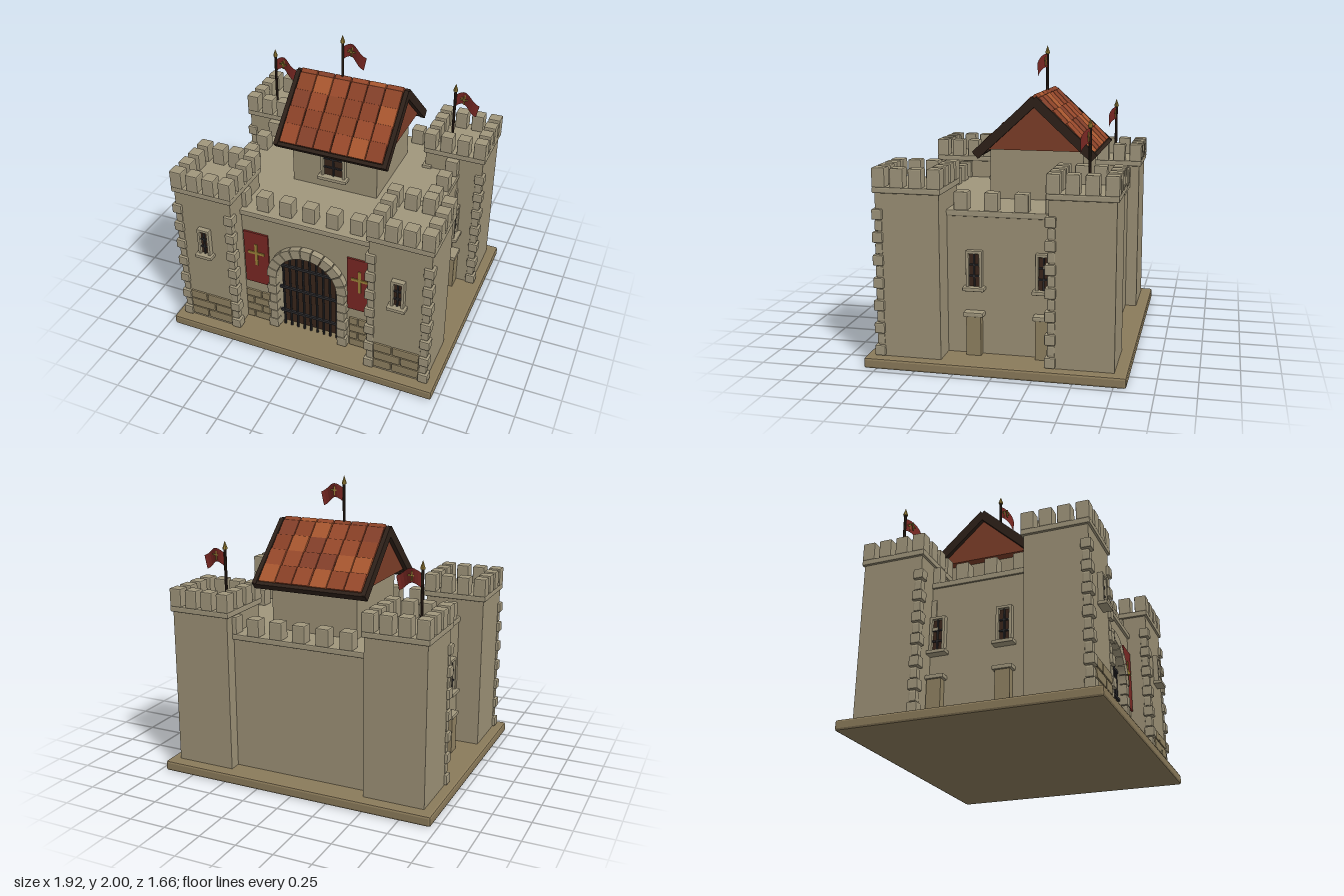
import * as THREE from 'three';
import { RoundedBoxGeometry } from 'three/addons/geometries/RoundedBoxGeometry.js';

const mat = (color, extra = {}) => {
  const m = new THREE.MeshStandardMaterial({ color, flatShading: true, ...extra });
  return m;
};
const M = {
  wall: mat(0x9c9176), trim: mat(0xa0967c), brick: mat(0x8f8161), ground: mat(0x8a7a5a),
  wood: mat(0x3a261b), iron: mat(0x2c2b2d), beam: mat(0x2e2119), gable: mat(0x7c3d28),
  red: mat(0x7a2823, { side: THREE.DoubleSide }), gold: mat(0x9c8238),
  tiles: [0x8e4428, 0x98492b, 0x84402a, 0xa9572f, 0x8a4127].map(c => mat(c)),
};

function add(parent, name, geo, material, x = 0, y = 0, z = 0) {
  const mesh = new THREE.Mesh(geo, material);
  mesh.name = name;
  mesh.position.set(x, y, z);
  parent.add(mesh);
  return mesh;
}
const box = (p, name, m, w, h, d, x, y, z) => add(p, name, new THREE.BoxGeometry(w, h, d), m, x, y, z);
// stone block with a small chamfer
const stone = (p, name, m, w, h, d, x, y, z) =>
  add(p, name, new RoundedBoxGeometry(w, h, d, 1, Math.min(0.008, w / 4, h / 4, d / 4)), m, x, y, z);
function group(parent, name, x = 0, y = 0, z = 0) {
  const g = new THREE.Group();
  g.name = name;
  g.position.set(x, y, z);
  parent.add(g);
  return g;
}

// framed window facing local +z, origin at the centre of the wall face
function windowUnit(parent, name, w, h, x, y, z, turn = 0) {
  const g = group(parent, name, x, y, z), f = 0.02;
  g.rotation.y = turn;
  box(g, 'pane', M.wood, w, h, 0.02, 0, 0, 0.005);
  for (const s of [-1, 1]) stone(g, 'jamb', M.trim, f, h + 2 * f, 0.05, s * (w + f) / 2, 0, 0.01);
  stone(g, 'lintel', M.trim, w + 2 * f, f, 0.05, 0, (h + f) / 2, 0.01);
  stone(g, 'sill', M.trim, w + 0.075, 0.025, 0.08, 0, -(h + f) / 2, 0.02);
  box(g, 'uprightBar', M.iron, 0.01, h, 0.012, 0, 0, 0.02);
  for (const s of [-1, 1]) box(g, 'crossBar', M.iron, w, 0.01, 0.012, 0, s * h / 6, 0.02);
}

function cross(parent, w, h, t, x, y, z) {
  box(parent, 'crossUpright', M.gold, t, h, 0.006, x, y, z);
  box(parent, 'crossArm', M.gold, w, t, 0.006, x, y + h * 0.08, z);
}

// pole with gold tip and a waving pennant
function flag(parent, x, y, z, h) {
  const g = group(parent, 'flag', x, y, z);
  add(g, 'pole', new THREE.CylinderGeometry(0.01, 0.01, h, 8), M.beam, 0, h / 2, 0);
  add(g, 'collar', new THREE.CylinderGeometry(0.016, 0.016, 0.012, 8), M.gold, 0, h, 0);
  add(g, 'tip', new THREE.ConeGeometry(0.017, 0.05, 8), M.gold, 0, h + 0.025, 0);
  const geo = new THREE.PlaneGeometry(0.17, 0.09, 8, 1), p = geo.attributes.position;
  for (let i = 0; i < p.count; i++) {
    const u = p.getX(i) / 0.17 + 0.5, top = p.getY(i) > 0;
    p.setXYZ(i, u * (top ? 0.175 : 0.155) + 0.008,
      p.getY(i) + 0.03 * Math.sin(u * 4.4) - 0.012 * u, 0.03 * u - 0.012 * Math.sin(u * 6));
  }
  geo.computeVertexNormals();
  add(g, 'pennant', geo, M.red, 0, h - 0.075, 0);
  for (const s of [-1, 1]) cross(g, 0.055, 0.06, 0.009, 0.07, h - 0.055, 0.012 + s * 0.012);
}

// square tower with ledge, battlements, corner stones and front window
function tower(parent, name, x, z, isFront) {
  const g = group(parent, name, x, 0, z);
  box(g, 'towerBody', M.wall, 0.41, 1.06, 0.41, 0, 0.6, 0);
  stone(g, 'towerLedge', M.trim, 0.44, 0.04, 0.44, 0, 1.14, 0);
  for (let i = 0; i < 4; i++) for (let j = 0; j < 4; j++) {
    if (i % 3 && j % 3) continue;
    stone(g, 'merlon', M.trim, 0.086, 0.125, 0.086, -0.177 + i * 0.118, 1.217, -0.177 + j * 0.118);
  }
  for (const s of [-1, 1]) for (let k = 0; k < 13; k++) {
    const w = k % 2 ? 0.05 : 0.068, o = k % 2 ? 0.186 : 0.191;
    stone(g, 'cornerStone', M.trim, w, 0.068, w, s * o, 0.107 + k * 0.0733, o);
  }
  windowUnit(g, 'towerWindow', 0.05, 0.18, 0, 0.765, 0.205);
  if (isFront) for (let r = 0; r < 3; r++) {
    const split = r % 2 ? 0.03 : -0.03;
    for (const [a, b] of [[-0.16, split], [split, 0.16]])
      stone(g, 'baseBrick', M.brick, b - a - 0.006, 0.066, 0.03, (a + b) / 2, 0.085 + r * 0.071 + 0.0355, 0.202);
  }
}

// arched outline: straight jambs and a half circle
function archPath(path, r, spring, base) {
  path.moveTo(r, base);
  path.lineTo(r, spring);
  path.absarc(0, spring, r, 0, Math.PI, false);
  path.lineTo(-r, base);
  return path;
}

function gate(parent) {
  const g = group(parent, 'gate'), R = 0.22, Y = 0.52;
  add(g, 'door', new THREE.ShapeGeometry(archPath(new THREE.Shape(), R + 0.01, Y, 0.07), 24), M.wood, 0, 0, 0.556);
  for (let i = -4; i <= 4; i++) {
    const x = i * 0.049, top = Y + Math.sqrt(R * R - x * x);
    add(g, 'portcullisBar', new THREE.CylinderGeometry(0.009, 0.009, top - 0.07, 8), M.iron, x, (top + 0.07) / 2, 0.59);
  }
  for (const y of [0.2, 0.41, 0.6]) box(g, 'portcullisRail', M.iron, 2 * Math.sqrt(R * R - Math.max(0, y - Y) ** 2), 0.018, 0.016, 0, y, 0.597);
  // wedge stones of the arch
  const n = 11, step = Math.PI / n;
  for (let i = 0; i < n; i++) {
    const a = i * step + 0.012, b = (i + 1) * step - 0.012, s = new THREE.Shape();
    s.absarc(0, 0, R + 0.07, a, b, false);
    s.absarc(0, 0, R, b, a, true);
    add(g, 'archStone', new THREE.ExtrudeGeometry(s, { depth: 0.1, bevelEnabled: false, curveSegments: 3 }), M.trim, 0, Y, 0.555);
  }
  for (const s of [-1, 1]) for (let k = 0; k < 6; k++) {
    const w = k % 2 ? 0.058 : 0.072;
    stone(g, 'jambStone', M.trim, w, 0.073, 0.1, s * (R + w / 2), 0.108 + k * 0.075, 0.607);
  }
}

function roof(parent) {
  const g = group(parent, 'roof', 0, 1.665, -0.15), L = 0.53, angle = 0.745;
  const tri = new THREE.Shape([new THREE.Vector2(-0.345, -0.33), new THREE.Vector2(0.345, -0.33), new THREE.Vector2(0, -0.012)]);
  const geo = new THREE.ExtrudeGeometry(tri, { depth: 0.73, bevelEnabled: false });
  geo.translate(0, 0, -0.365).rotateY(Math.PI / 2);
  add(g, 'gable', geo, M.gable);
  for (const side of [0, 1]) {
    const half = group(g, 'roofSide');
    half.rotation.y = side * Math.PI;
    const slope = group(half, 'roofSlope');
    slope.rotation.x = angle;
    box(slope, 'roofDeck', M.beam, 0.77, 0.025, L, 0, -0.008, L / 2);
    for (const s of [-1, 1]) box(slope, 'bargeBoard', M.beam, 0.03, 0.06, L + 0.01, s * 0.387, -0.005, L / 2);
    box(slope, 'eaveBoard', M.beam, 0.8, 0.05, 0.025, 0, -0.005, L - 0.005);
    for (let r = 0; r < 4; r++) for (let c = 0; c < 6; c++) {
      const m = M.tiles[(r * 7 + c * 3 + (r * c) % 4 + side * 2) % 5];
      const t = stone(slope, 'roofTile', m, 0.119, 0.018, 0.135, -0.308 + c * 0.123, 0.016, 0.075 + r * 0.122);
      t.rotation.x = -0.06 + 0.12;
      t.position.y += ((r + c) % 3) * 0.002;
    }
  }
  for (let c = 0; c < 6; c++) {
    const t = stone(g, 'ridgeTile', M.tiles[(c * 2) % 5], 0.119, 0.036, 0.036, -0.308 + c * 0.123, 0.012, 0);
    t.rotation.x = Math.PI / 4;
  }
}

export function createModel() {
  const model = new THREE.Group();
  model.name = 'castle';
  add(model, 'base', new RoundedBoxGeometry(1.92, 0.07, 1.66, 1, 0.015), M.ground, 0, 0.035, 0);

  // main block, gate wall with arched notch, ledge
  box(model, 'mainBlock', M.wall, 1.44, 0.9, 1.22, 0, 0.52, -0.06);
  const face = new THREE.Shape();
  face.moveTo(0.5, 0.07);
  face.lineTo(0.5, 0.96);
  face.lineTo(-0.5, 0.96);
  face.lineTo(-0.5, 0.07);
  face.lineTo(-0.22, 0.07);
  face.lineTo(-0.22, 0.52);
  face.absarc(0, 0.52, 0.22, Math.PI, 0, true);
  face.lineTo(0.22, 0.07);
  add(model, 'gateWall', new THREE.ExtrudeGeometry(face, { depth: 0.06, bevelEnabled: false, curveSegments: 24 }), M.wall, 0, 0, 0.55);
  stone(model, 'wallLedge', M.trim, 1.46, 0.04, 1.315, 0, 0.98, -0.03);
  gate(model);

  // wall battlements
  for (let i = -3; i <= 3; i++) for (const z of [0.545, -0.643])
    stone(model, 'wallMerlon', M.trim, 0.09, 0.12, 0.088, i * 0.165, 1.055, z);
  for (const s of [-1, 1]) for (let i = 0; i < 4; i++)
    stone(model, 'sideMerlon', M.trim, 0.088, 0.12, 0.09, s * 0.68, 1.055, 0.25 - i * 0.195);

  for (const s of [-1, 1]) {
    tower(model, 'frontTower', s * 0.685, 0.545, true);
    tower(model, 'backTower', s * 0.685, -0.545, false);
    // side windows above capped buttresses
    for (const z of [0.16, -0.285]) {
      windowUnit(model, 'sideWindow', 0.065, 0.215, s * 0.72, 0.62, z, s * Math.PI / 2);
      box(model, 'buttress', M.brick, 0.06, 0.26, 0.095, s * 0.74, 0.2, z);
      stone(model, 'buttressCap', M.trim, 0.075, 0.03, 0.13, s * 0.742, 0.338, z);
    }
    // banner with cross beside the gate
    box(model, 'banner', M.red, 0.18, 0.425, 0.012, s * 0.375, 0.622, 0.622);
    cross(model, 0.12, 0.175, 0.02, s * 0.375, 0.655, 0.631);
    // brick courses beside the gate
    for (let r = 0; r < 4; r++) {
      const a = 0.295, split = r % 2 ? 0.36 : 0.42, b = 0.48;
      for (const [p, q] of [[a, split], [split, b]])
        stone(model, 'wallBrick', M.brick, q - p - 0.006, 0.058, 0.026, s * (p + q) / 2, 0.102 + r * 0.063 + 0.002, 0.61);
    }
  }

  // keep
  box(model, 'keep', M.wall, 0.61, 0.36, 0.62, 0, 1.17, -0.15);
  windowUnit(model, 'keepWindow', 0.135, 0.2, 0, 1.21, 0.16);
  roof(model);

  flag(model, -0.07, 1.67, -0.15, 0.275);
  flag(model, -0.77, 1.16, -0.545, 0.37);
  flag(model, 0.605, 1.16, -0.545, 0.37);
  return model;
}
